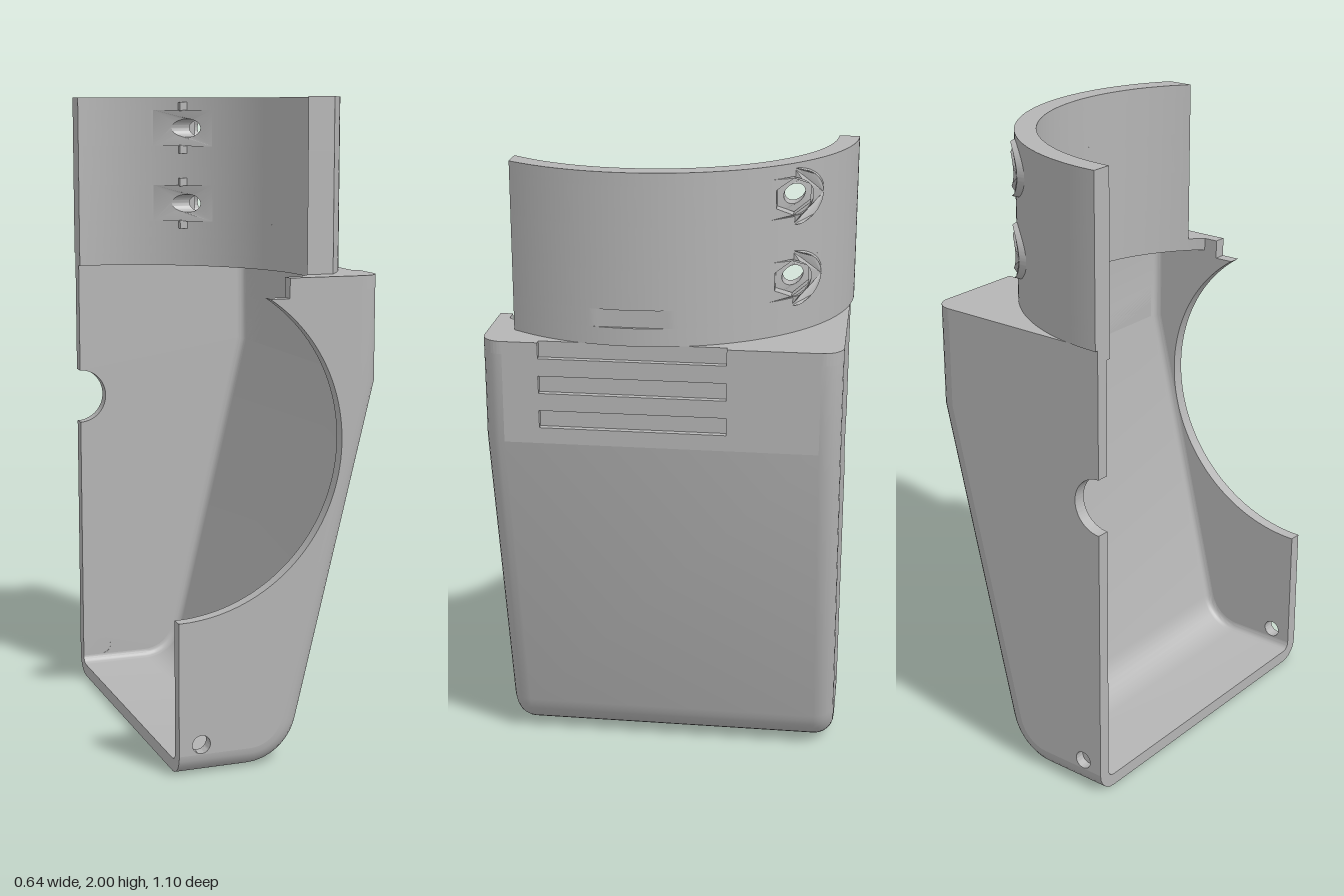
import * as THREE from 'three';
import { toCreasedNormals } from 'three/addons/utils/BufferGeometryUtils.js';

const CX = -0.32, CZ = 0.09;            // axis of the round collar
const R_IN = 0.575, R_OUT = 0.64;       // collar radii
const Z_BACK = -0.54, Z_FRONT = 0.55;   // housing depth
const WALL = 0.04, ROUND = 0.065, TOP = 1.48, BEND = 1.16;
const SCREW_Z = -0.37, PLUG = 0.06;

export function createModel() {
  const model = new THREE.Group();
  const grey = new THREE.MeshStandardMaterial({ color: 0xb5b5b5 });
  const add = (name, geo) => {
    const mesh = new THREE.Mesh(toCreasedNormals(geo, 0.5), grey);
    mesh.name = name;
    model.add(mesh);
    return mesh;
  };
  const extrude = (shape, depth, curveSegments = 32) =>
    new THREE.ExtrudeGeometry(shape, { depth, bevelEnabled: false, curveSegments });
  // shape drawn as (x, -z), raised along y
  const upright = (shape, y0, y1) => extrude(shape, y1 - y0, 64).rotateX(-Math.PI / 2).translate(0, y0, 0);
  // shape drawn as (-z, y), raised along x
  const sideways = (shape, x0, x1) => extrude(shape, x1 - x0).rotateY(Math.PI / 2).translate(x0, 0, 0);
  const polygon = (pts) => new THREE.Shape(pts.map(([x, y]) => new THREE.Vector2(x, y)));
  const hole = (x, y, r) => new THREE.Path().absarc(x, y, r, 0, Math.PI * 2, true);

  // Side profile of the housing, moved inwards by d
  const slope = Math.atan2(-0.236, 0.972);
  const profile = (d) => {
    const pts = [[CX, d]];
    for (let i = 0; i <= 10; i++) {
      const a = -Math.PI / 2 + (slope + Math.PI / 2) * i / 10;
      pts.push([-0.095 + (0.17 - d) * Math.cos(a), 0.17 + (0.17 - d) * Math.sin(a)]);
    }
    pts.push([0.32 - d, BEND + 0.119 * d], [0.32 - d, TOP]);
    return pts;
  };

  // Curved housing skin with rounded long edges, outside and inside
  const rows = (inset) => {
    const r = ROUND - inset, out = [], n = 6;
    for (let i = 0; i <= n; i++) {
      const a = (Math.PI / 2) * i / n;
      out.push([Z_BACK + inset + r * (1 - Math.sin(a)), inset + r * (1 - Math.cos(Math.PI / 2 - a + Math.PI / 2 - (Math.PI / 2 - a)))]);
    }
    // edge runs from the flat wall (fully inset) to the curved face
    for (let i = 0; i <= n; i++) {
      const a = (Math.PI / 2) * (1 - i / n);
      out[i] = [Z_BACK + inset + r * (1 - Math.sin(a)), inset + r * (1 - Math.cos(a))];
    }
    const front = out.map(([z, d]) => [Z_BACK + Z_FRONT - z, d]).reverse();
    return out.concat(front).map(([z, d]) => profile(d).map(([x, y]) => [x, y, z]));
  };
  const outer = rows(0), inner = rows(WALL), pos = [];
  const quad = (a, b, c, d) => pos.push(...a, ...b, ...c, ...b, ...d, ...c);
  const last = outer[0].length - 2;
  for (let i = 0; i < outer.length - 1; i++) {
    for (let j = 0; j <= last; j++) {
      const ventPanel = j === last && i === 6;
      if (!ventPanel) quad(outer[i][j], outer[i][j + 1], outer[i + 1][j], outer[i + 1][j + 1]);
      quad(inner[i + 1][j], inner[i + 1][j + 1], inner[i][j], inner[i][j + 1]);
    }
    quad(outer[i][0], outer[i + 1][0], inner[i][0], inner[i + 1][0]);
  }
  const skin = new THREE.BufferGeometry();
  skin.setAttribute('position', new THREE.Float32BufferAttribute(pos, 3));
  add('housingSkin', skin);

  // Front wall with the large round opening
  const flat = profile(ROUND);
  const front = polygon([...flat, [0.025, TOP], [0.025, 1.42], [-0.037, 1.42]]);
  front.absarc(CX, 0.99, 0.515, Math.asin(0.43 / 0.515), -Math.PI / 2, true);
  front.holes.push(hole(-0.25, 0.096, 0.028));
  add('frontWall', extrude(front, WALL, 64).translate(0, 0, Z_FRONT - WALL));

  // Back wall with a half-round cable notch and a blind screw hole
  const back = polygon([...flat, [CX, TOP]]);
  back.absarc(CX, 0.99, 0.09, Math.PI / 2, -Math.PI / 2, true);
  back.holes.push(hole(-0.25, 0.096, 0.028));
  add('backWall', extrude(back, WALL).translate(0, 0, Z_BACK));
  add('screwHoleFloor', new THREE.CylinderGeometry(0.03, 0.03, 0.008, 24)
    .rotateX(Math.PI / 2).translate(-0.25, 0.096, Z_BACK + WALL - 0.005));

  // Vented upper side panel and its liner
  const u0 = -Z_FRONT + ROUND, u1 = -Z_BACK - ROUND, s0 = -0.375, s1 = 0.195;
  const panel = polygon([[u0, BEND], [u1, BEND], [u1, TOP], [s1, TOP], [s1, 1.43], [s0, 1.43], [s0, TOP], [u0, TOP]]);
  for (const y of [1.21, 1.32]) {
    panel.holes.push(polygon([[s0, y], [s0, y + 0.055], [s1, y + 0.055], [s1, y]]));
  }
  add('ventPanel', sideways(panel, 0.3, 0.32));
  add('ventLiner', new THREE.BoxGeometry(0.02, TOP - BEND - 0.01, u1 - u0)
    .translate(0.29, (TOP + BEND) / 2, -(u0 + u1) / 2));

  // Deck on top of the housing, bored for the collar
  const deck = new THREE.Shape();
  deck.moveTo(0.025, -Z_FRONT);
  deck.absarc(0.32 - ROUND, u0, ROUND, -Math.PI / 2, 0, false);
  for (const [x, s] of [[0.32, s0], [0.3, s0], [0.3, s1], [0.32, s1]]) deck.lineTo(x, s);
  deck.absarc(0.32 - ROUND, u1, ROUND, 0, Math.PI / 2, false);
  deck.lineTo(CX, -Z_BACK);
  deck.absarc(CX, -CZ, R_IN, Math.PI / 2, -Math.asin(0.46 / R_IN), true);
  add('deck', upright(deck, 1.44, TOP));

  // Collar section between two z planes, given as distances behind the axis
  const collar = (y0, y1, a, b, limit = 1) => {
    const angle = (v, r) => Math.asin(Math.min(1, v / r));
    const ring = new THREE.Shape();
    ring.absarc(CX, -CZ, R_OUT, angle(a, R_OUT), angle(b, R_OUT), false);
    ring.absarc(CX, -CZ, R_IN, angle(b, R_IN), angle(a, R_IN), true);
    const geo = upright(ring, y0, y1), p = geo.attributes.position;
    for (let i = 0; i < p.count; i++) p.setX(i, Math.min(limit, p.getX(i)));
    add('collar', geo);
  };
  const START = -0.38, END = R_OUT, mid = CZ - SCREW_Z;
  collar(TOP, 1.535, START, END);
  collar(1.535, 1.59, START, END, 0.309); // vent groove
  collar(1.71, 1.84, START, END);
  collar(1.96, 2, START, END);

  // Bend the two ends of a sideways part onto cylinders around the collar axis
  const bend = (geo, split, r0, r1, limit = 1) => {
    const p = geo.attributes.position;
    for (let i = 0; i < p.count; i++) {
      const r = p.getX(i) > split ? r1 : r0;
      if (r) p.setX(i, Math.min(limit, CX + Math.sqrt(r * r - (p.getZ(i) - CZ) ** 2)));
    }
    return geo;
  };

  // Screw mounts: round bore inside, hexagonal pocket outside, half-ring boss
  for (const y of [1.65, 1.9]) {
    collar(y - PLUG, y + PLUG, START, mid - PLUG);
    collar(y - PLUG, y + PLUG, mid + PLUG, END);
    const c = -SCREW_Z;
    const block = () => polygon([[c - PLUG, y - PLUG], [c + PLUG, y - PLUG], [c + PLUG, y + PLUG], [c - PLUG, y + PLUG]]);
    const bore = block(), pocket = block();
    bore.holes.push(hole(c, y, 0.03));
    pocket.holes.push(polygon([0, 1, 2, 3, 4, 5].map((k) => {
      const a = -k * Math.PI / 3 + Math.PI / 6;
      return [c + 0.055 * Math.cos(a), y + 0.055 * Math.sin(a)];
    })));
    add('screwBore', bend(sideways(bore, 0, 1), 0.5, R_IN, 0.61));
    add('nutPocket', bend(sideways(pocket, 0, 1), 0.5, 0.61, R_OUT));
    const boss = new THREE.Shape();
    boss.absarc(c, y, 0.085, -Math.PI / 2, Math.PI / 2, false);
    boss.absarc(c, y, 0.057, Math.PI / 2, -Math.PI / 2, true);
    add('screwBoss', bend(sideways(boss, 0, 1), 0.5, 0, 0.655, 0.12));
  }
  return model;
}
